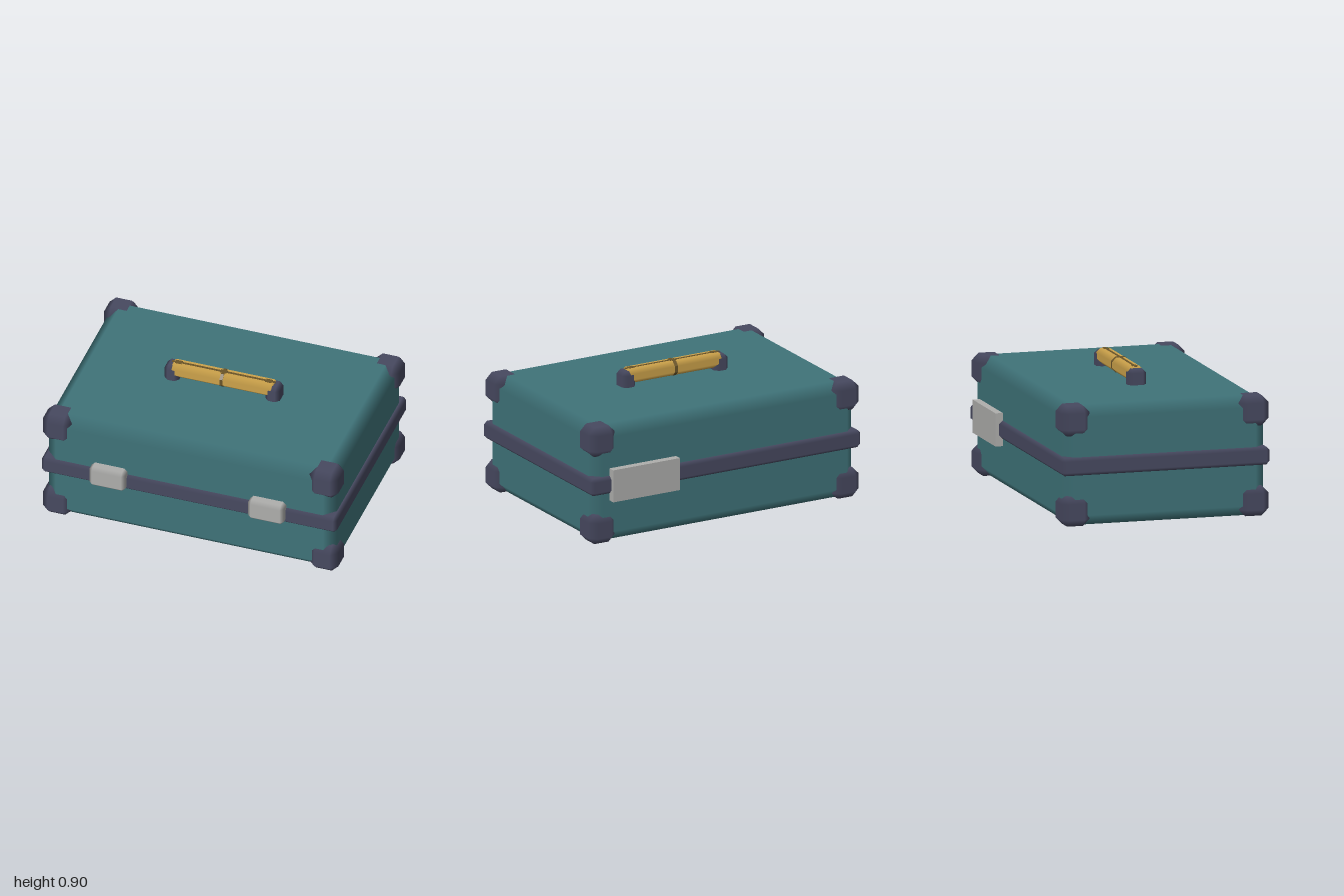
import * as THREE from 'three';

const material = (name, color, extra = {}) => {
  const m = new THREE.MeshStandardMaterial({ color, ...extra });
  m.name = name;
  return m;
};

// Box with single-step bevels; the flat faces carry axis normals, so bevels shade softly.
function bevelBox([x0, x1], [y0, y1], [z0, z1], bevel) {
  const half = [(x1 - x0) / 2, (y1 - y0) / 2, (z1 - z0) / 2];
  const positions = [], normals = [], index = [];
  const signs = [-1, 1];

  // The corner of the face on the given axis that lies nearest the box corner s
  const ids = new Map();
  const vertex = (axis, s) => {
    const key = axis + ':' + s.join();
    if (!ids.has(key)) {
      ids.set(key, positions.length / 3);
      for (let k = 0; k < 3; k++) {
        positions.push(s[k] * (half[k] - (k === axis ? 0 : bevel)));
        normals.push(k === axis ? s[k] : 0);
      }
    }
    return ids.get(key);
  };
  const point = (i) => new THREE.Vector3().fromArray(positions, i * 3);
  const normal = (i) => new THREE.Vector3().fromArray(normals, i * 3);

  // Triangle wound to face outwards
  const triangle = (a, b, c) => {
    const n = point(b).sub(point(a)).cross(point(c).sub(point(a)));
    const out = normal(a).add(normal(b)).add(normal(c));
    index.push(...(n.dot(out) > 0 ? [a, b, c] : [a, c, b]));
  };
  const quad = (a, b, c, d) => { triangle(a, b, c); triangle(a, c, d); };
  const corner = (i, a, j, b, k, c) => {
    const s = [0, 0, 0];
    s[i] = a; s[j] = b; s[k] = c;
    return s;
  };

  for (let i = 0; i < 3; i++) {
    const j = (i + 1) % 3, k = (i + 2) % 3;
    for (const a of signs) {
      // flat face
      quad(...[[-1, -1], [1, -1], [1, 1], [-1, 1]].map(([b, c]) => vertex(i, corner(i, a, j, b, k, c))));
      // bevels between this face and the next axis
      for (const b of signs) {
        const lo = corner(i, a, j, b, k, -1), hi = corner(i, a, j, b, k, 1);
        quad(vertex(i, lo), vertex(i, hi), vertex(j, hi), vertex(j, lo));
      }
    }
  }
  // corner triangles
  for (const a of signs) for (const b of signs) for (const c of signs) {
    triangle(...[0, 1, 2].map((axis) => vertex(axis, [a, b, c])));
  }

  const geometry = new THREE.BufferGeometry();
  geometry.setAttribute('position', new THREE.Float32BufferAttribute(positions, 3));
  geometry.setAttribute('normal', new THREE.Float32BufferAttribute(normals, 3));
  geometry.setIndex(index);
  geometry.translate((x0 + x1) / 2, (y0 + y1) / 2, (z0 + z1) / 2);
  return geometry;
}

function plainBox([x0, x1], [y0, y1], [z0, z1]) {
  return new THREE.BoxGeometry(x1 - x0, y1 - y0, z1 - z0)
    .translate((x0 + x1) / 2, (y0 + y1) / 2, (z0 + z1) / 2);
}

export function createModel() {
  const model = new THREE.Group();
  model.name = 'suitcase';

  const teal = material('teal shell', 0x3f7379);
  const dark = material('dark trim', 0x474960);
  const gold = material('gold grip', 0xcca24a);
  const brown = material('brown seam', 0x6a5428);
  const silver = material('silver metal', 0xaeaeac);

  const add = (name, geometry, mat, parent = model) => {
    const mesh = new THREE.Mesh(geometry, mat);
    mesh.name = name;
    parent.add(mesh);
    return mesh;
  };

  // Shell and the band around its middle
  add('shell', bevelBox([-0.975, 0.975], [0, 0.782], [-0.684, 0.665], 0.07), teal);
  add('band', bevelBox([-1, 1], [0.335, 0.452], [-0.708, 0.685], 0.022), dark);

  // Corner guards
  const corners = new THREE.Group();
  corners.name = 'cornerGuards';
  model.add(corners);
  for (const x of [[-1, -0.805], [0.805, 1]]) {
    for (const y of [[0.001, 0.196], [0.588, 0.785]]) {
      for (const z of [[-0.708, -0.512], [0.488, 0.685]]) {
        add('cornerGuard', bevelBox(x, y, z, 0.045), dark, corners);
      }
    }
  }

  // Front latches
  add('rightLatch', bevelBox([-0.66, -0.418], [0.347, 0.492], [0.6, 0.734], 0.022), silver);
  add('leftLatch', bevelBox([0.414, 0.656], [0.347, 0.492], [0.6, 0.734], 0.022), silver);

  // Back plate
  add('backPlate', plainBox([0.362, 0.855], [0.286, 0.502], [-0.733, -0.675]), silver);

  // Handle: two posts, a grip and its seams
  const handle = new THREE.Group();
  handle.name = 'handle';
  model.add(handle);
  for (const x of [[-0.39, -0.292], [0.292, 0.39]]) {
    add('handlePost', bevelBox(x, [0.7, 0.885], [-0.071, 0.049], 0.026), dark, handle);
  }
  add('grip', bevelBox([-0.36, 0.36], [0.8, 0.895], [-0.068, 0.046], 0.028), gold, handle);
  add('gripRing', bevelBox([-0.011, 0.011], [0.798, 0.897], [-0.07, 0.048], 0.01), brown, handle)
    .geometry.dispose();
  handle.children.at(-1).geometry = gripRing();
  add('gripSeam', plainBox([-0.35, 0.35], [0.893, 0.8965], [-0.019, -0.003]), brown, handle);
  for (const x of [-0.305, 0, 0.305]) {
    add('gripSeamPatch', plainBox([x - 0.022, x + 0.022], [0.893, 0.8968], [-0.028, 0.006]), brown, handle);
  }
  return model;
}

// Octagonal band that follows the bevelled section of the grip
function gripRing() {
  const hz = 0.059, hy = 0.0495, c = 0.028;
  const shape = new THREE.Shape([
    [hz, -hy + c], [hz, hy - c], [hz - c, hy], [c - hz, hy],
    [-hz, hy - c], [-hz, c - hy], [c - hz, -hy], [hz - c, -hy],
  ].map(([a, b]) => new THREE.Vector2(a, b)));
  return new THREE.ExtrudeGeometry(shape, { depth: 0.022, bevelEnabled: false })
    .translate(0, 0, -0.011)
    .rotateY(Math.PI / 2)
    .translate(0, 0.8475, -0.011);
}
